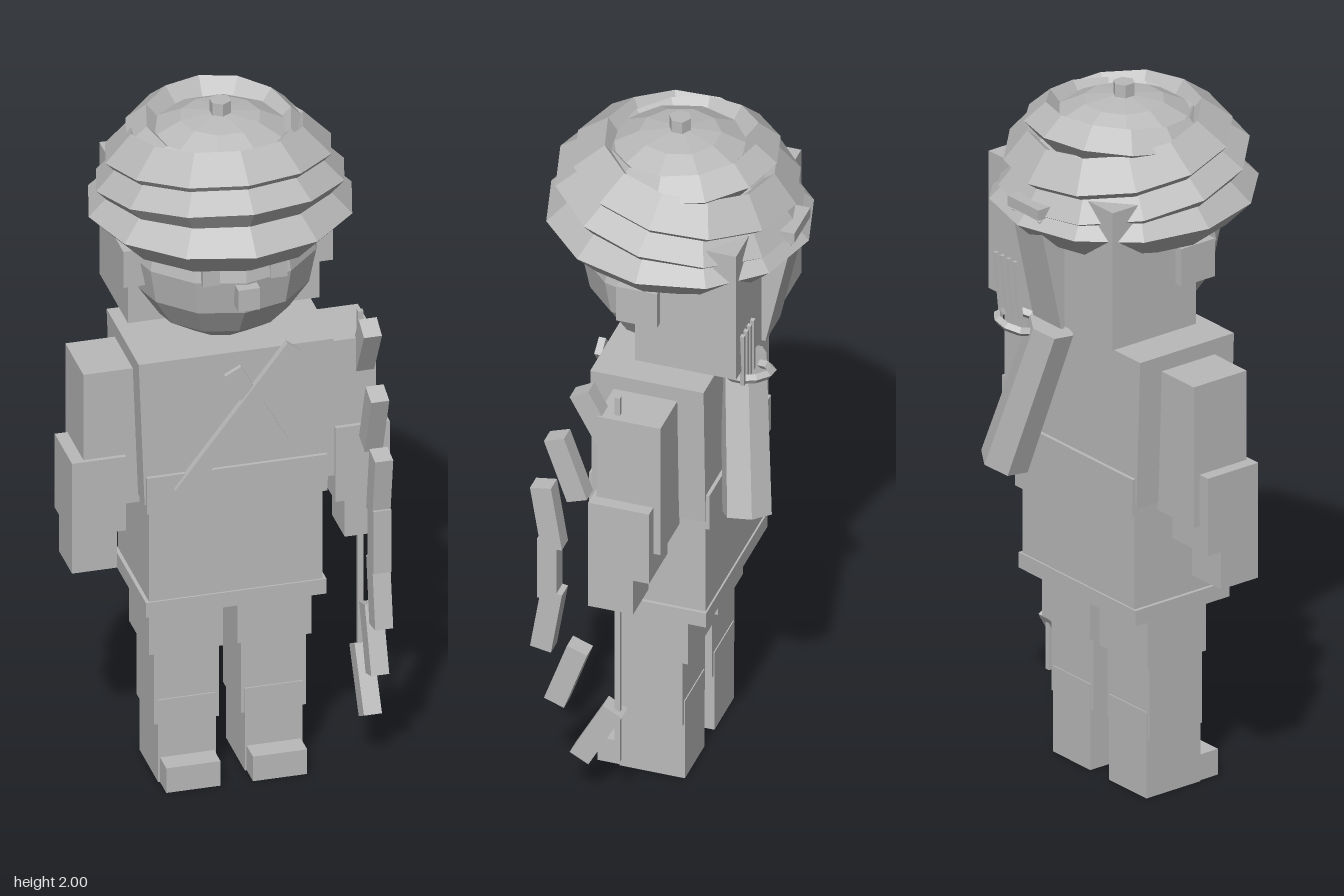
import * as THREE from 'three';

export function createModel() {
  const model = new THREE.Group();
  model.name = 'archer';
  const grey = new THREE.MeshStandardMaterial({ color: 0xbababa });
  grey.name = 'plain grey';
  grey.flatShading = true;

  const add = (name, geometry, x = 0, y = 0, z = 0, parent = model) => {
    const mesh = new THREE.Mesh(geometry, grey);
    mesh.name = name;
    mesh.position.set(x, y, z);
    parent.add(mesh);
    return mesh;
  };
  // Box given by its lower and upper limits on each axis
  const box = (name, x0, x1, y0, y1, z0, z1) => add(name,
    new THREE.BoxGeometry(x1 - x0, y1 - y0, z1 - z0), (x0 + x1) / 2, (y0 + y1) / 2, (z0 + z1) / 2);
  // Turn a mesh so its y axis runs from a to b
  const aim = (mesh, a, b) => {
    const from = new THREE.Vector3(...a), to = new THREE.Vector3(...b);
    mesh.position.copy(from).lerp(to, 0.5);
    mesh.quaternion.setFromUnitVectors(new THREE.Vector3(0, 1, 0), to.sub(from).normalize());
    return mesh;
  };

  // Head, with block of hair behind
  add('head', new THREE.SphereGeometry(0.265, 12, 8), 0, 1.58, 0);
  box('hair', -0.265, 0.265, 1.375, 1.775, -0.25, 0.035);
  box('nose', -0.03, 0.03, 1.51, 1.575, 0.22, 0.29);

  // Turban: tilted diamond-section coils around a dome
  add('turbanDome', new THREE.SphereGeometry(0.29, 10, 8).scale(1, 0.75, 1), 0, 1.75, 0);
  const coils = [ // radius, tube, y, z, tilt
    [0.292, 0.072, 1.695, 0, -0.04],
    [0.27, 0.073, 1.77, 0, -0.17],
    [0.238, 0.074, 1.84, -0.02, -0.16],
    [0.2, 0.055, 1.885, -0.02, 0.1],
  ];
  for (const [r, t, y, z, tilt] of coils) {
    add('turbanCoil', new THREE.TorusGeometry(r, t, 4, 12).rotateX(Math.PI / 2), 0, y, z).rotation.x = tilt;
  }
  add('turbanKnob', new THREE.CylinderGeometry(0.03, 0.03, 0.06, 6), 0, 1.97, 0);

  // Tapering cloth tail and knot at the back of the turban
  const tail = new THREE.Shape([[0.25, 1.775], [0.25, 1.37], [0.262, 1.37], [0.335, 1.7]]
    .map(([u, v]) => new THREE.Vector2(u, v)));
  const tailGeometry = new THREE.ExtrudeGeometry(tail, { depth: 0.12, bevelEnabled: false });
  add('turbanTail', tailGeometry.translate(0, 0, -0.06).rotateY(Math.PI / 2));
  box('turbanKnot', -0.065, 0.065, 1.71, 1.74, -0.345, -0.3);

  // Torso: chest narrows slightly downwards
  const chest = new THREE.BoxGeometry(0.54, 0.43, 0.32);
  const p = chest.attributes.position;
  for (let i = 0; i < p.count; i++) if (p.getY(i) < 0) p.setX(i, p.getX(i) * 0.94);
  chest.computeVertexNormals();
  add('chest', chest, 0, 1.1, 0);
  box('belt', -0.25, 0.25, 0.86, 0.97, -0.17, 0.17);
  box('tunic', -0.24, 0.24, 0.57, 0.88, -0.155, 0.155);
  box('hem', -0.25, 0.25, 0.54, 0.585, -0.16, 0.16);
  aim(add('longStrap', new THREE.BoxGeometry(0.05, 0.51, 0.02)), [-0.15, 0.92, 0.172], [0.15, 1.31, 0.172]);
  aim(add('shortStrap', new THREE.BoxGeometry(0.05, 0.28, 0.02)), [0.12, 1.02, 0.163], [-0.01, 1.26, 0.163]);

  // Paired parts, mirrored in x
  for (const s of [-1, 1]) {
    const side = s > 0 ? 'left' : 'right';
    const pair = (name, x0, x1, ...rest) =>
      box(side + name, s > 0 ? x0 : -x1, s > 0 ? x1 : -x0, ...rest);
    pair('Ear', 0.23, 0.29, 1.51, 1.62, -0.035, 0.08);
    pair('Eye', 0.07, 0.117, 1.577, 1.63, 0.2, 0.25);
    pair('UpperArm', 0.25, 0.405, 0.86, 1.27, -0.085, 0.095);
    pair('Forearm', 0.29, 0.44, 0.785, 1.01, -0.065, 0.107);
    pair('Hand', 0.315, 0.44, 0.675, 0.79, -0.02, 0.107);
    pair('Thigh', 0.02, 0.225, 0.39, 0.56, -0.1, 0.1);
    pair('Shin', 0.03, 0.21, 0.175, 0.41, -0.08, 0.098);
    pair('Boot', 0.04, 0.2, 0, 0.25, -0.083, 0.102);
    pair('Foot', 0.045, 0.195, 0, 0.075, -0.02, 0.165);
  }

  // Bow: staggered blocks mirrored about the grip, with a straight string
  const bow = new THREE.Group();
  bow.name = 'bow';
  bow.position.set(0.375, 0.735, 0);
  model.add(bow);
  add('bowGrip', new THREE.BoxGeometry(0.05, 0.19, 0.055), 0, 0, 0.238, bow);
  for (const s of [-1, 1]) {
    for (const [y, z, angle] of [[0.165, 0.24, 0.16], [0.335, 0.185, 0.34], [0.505, 0.1, 0.5]]) {
      add('bowLimb', new THREE.BoxGeometry(0.05, 0.195, 0.06), 0, s * y, z, bow).rotation.x = s * angle;
    }
  }
  add('bowString', new THREE.BoxGeometry(0.015, 1.18, 0.015), 0, 0, 0.045, bow);

  // Quiver slung across the back, with its loop and arrows
  const quiver = new THREE.CylinderGeometry(0.065, 0.07, 0.45, 6);
  aim(add('quiver', quiver), [0.19, 0.9, -0.255], [0.06, 1.32, -0.2]);
  const loop = add('quiverLoop', new THREE.TorusGeometry(0.06, 0.013, 4, 10), 0.14, 1.32, -0.245);
  loop.rotation.set(Math.PI / 2 + 0.15, 0.2, 0);
  for (let i = 0; i < 4; i++) {
    const x = 0.13 + i * 0.027;
    aim(add('arrow', new THREE.BoxGeometry(0.012, 0.17, 0.012)), [x, 1.33, -0.25], [x + 0.015, 1.49, -0.255]);
  }
  return model;
}
